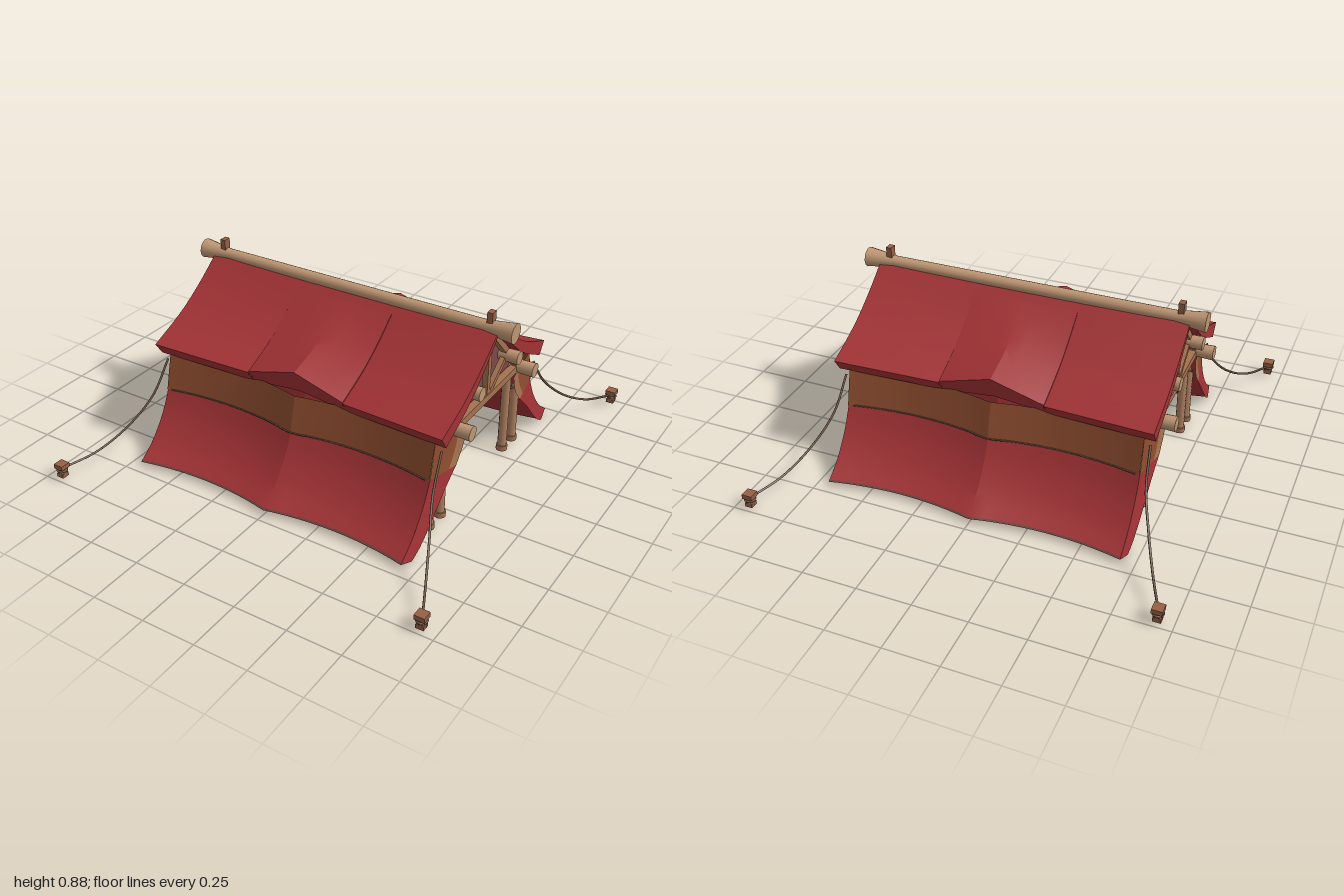
import * as THREE from 'three';
import { toCreasedNormals } from 'three/addons/utils/BufferGeometryUtils.js';

const mat = (name, color, side = THREE.FrontSide) => {
  const m = new THREE.MeshStandardMaterial({ color, side });
  m.name = name;
  return m;
};

export function createModel() {
  const root = new THREE.Group();
  root.name = 'ridgeTent';
  const red = mat('red canvas', 0xa23235, THREE.DoubleSide);
  const brown = mat('brown canvas', 0x8e4d2f, THREE.DoubleSide);
  const gableCloth = mat('gable cloth', 0x7d4a45, THREE.DoubleSide);
  const trim = mat('dark trim', 0x6b4038, THREE.DoubleSide);
  const wood = mat('pale wood', 0xbe9673);
  const postWood = mat('post wood', 0xae7f60);
  const beamWood = mat('beam wood', 0xa5714f, THREE.DoubleSide);
  const pegWood = mat('peg wood', 0x966044);
  const ropeMat = mat('rope', 0x6a5341);

  const add = (name, geo, material, parent = root) => {
    const m = new THREE.Mesh(geo, material);
    m.name = name;
    parent.add(m);
    return m;
  };

  // Open sheet from a rule p(u, v) -> [x, y, z]
  const sheet = (nu, nv, p) => {
    const pos = [], idx = [];
    for (let j = 0; j <= nv; j++) for (let i = 0; i <= nu; i++) pos.push(...p(i / nu, j / nv));
    for (let j = 0; j < nv; j++) for (let i = 0; i < nu; i++) {
      const a = j * (nu + 1) + i, b = a + nu + 1;
      idx.push(a, b, a + 1, a + 1, b, b + 1);
    }
    const g = new THREE.BufferGeometry();
    g.setAttribute('position', new THREE.Float32BufferAttribute(pos, 3));
    g.setIndex(idx);
    return toCreasedNormals(g, 0.3);
  };

  // Smooth profile in the (z, y) plane
  const profile = (pts) => {
    const c = new THREE.SplineCurve(pts.map(([z, y]) => new THREE.Vector2(z, y)));
    return (t) => c.getPoint(t);
  };

  // Squared beam between two points
  const beam = (name, a, b, w, parent) => {
    const A = new THREE.Vector3(...a), B = new THREE.Vector3(...b);
    const m = add(name, new THREE.BoxGeometry(w, w, A.distanceTo(B)), beamWood, parent);
    m.position.copy(A).add(B).multiplyScalar(0.5);
    m.lookAt(B);
  };

  // Round pole along x with flared ends
  const pole = (name, half, r, flare, y, z) => {
    const pts = [[0, -half], [flare, -half], [r, -half + 0.14], [r, half - 0.14], [flare, half], [0, half]];
    const g = new THREE.LatheGeometry(pts.map(([a, b]) => new THREE.Vector2(a, b)), 14);
    const m = add(name, toCreasedNormals(g, 0.6), wood);
    m.rotation.z = Math.PI / 2;
    m.position.set(0, y, z);
  };

  // Roof surface, its underside, and the raised smoke flap
  const W = 0.74, F = 0.245;
  const roofLine = profile([[0.02, 0.805], [0.15, 0.705], [0.3, 0.612], [0.49, 0.53]]);
  const roofPoint = (x, t) => {
    const p = roofLine(t), inset = Math.min(1, (W - Math.abs(x)) / (W - F));
    return [x, p.y - 0.014 * inset, p.x * (1 - 0.08 * inset)];
  };
  const underPoint = (x, t) => {
    const [, y, z] = roofPoint(x, t), peak = 0.025 * Math.max(0, 1 - Math.abs(x) / F);
    return [x, y - 0.02 - (0.04 - peak) * t, z - 0.04 * t];
  };
  const flapPoint = (x, v) => {
    const [, y, z] = roofPoint(x, 0.13 + 0.87 * v);
    return [x, y + 0.006 + 0.07 * v * (1 - Math.abs(x) / F), z];
  };

  const skirtLine = profile([[0.485, 0.31], [0.52, 0.235], [0.565, 0.165], [0.63, 0.09], [0.71, 0.03]]);
  const endLine = profile([[0.31, 0.3], [0.4, 0.22], [0.5, 0.115], [0.58, 0.04], [0.64, 0.005]]);
  const wallEndLine = profile([[0.22, 0.46], [0.25, 0.375], [0.31, 0.3]]);
  const liningLine = profile([[0.37, 0.46], [0.395, 0.31], [0.45, 0.22], [0.53, 0.12], [0.64, 0.005]]);
  const scallop = (x) => { const a = Math.abs(x) / 0.69; return 0.16 * a * (1 - a); };

  for (const s of [1, -1]) {
    const side = new THREE.Group();
    side.name = s > 0 ? 'frontSide' : 'backSide';
    root.add(side);
    const flip = (p) => [p[0], p[1], p[2] * s];
    const X = (u, h) => (u * 2 - 1) * h;

    // Upper roof: two wings, a strip above the flap, and the underside
    for (const e of [1, -1]) {
      add('roofWing', sheet(6, 10, (u, v) => flip(roofPoint(e * (F + (W - F) * u), v))), red, side);
      add('roofEave', sheet(6, 1, (u, v) => {
        const x = e * (F + (W - F) * u);
        return flip((v ? underPoint : roofPoint)(x, 1));
      }), red, side);
      add('roofEnd', sheet(1, 10, (u, v) => flip((u ? underPoint : roofPoint)(e * W, v))), red, side);
      add('flapEdge', sheet(1, 10, (u, v) => {
        const p = flapPoint(e * F, v);
        return flip([p[0], p[1] - 0.02 * u, p[2]]);
      }), red, side);
    }
    add('roofTopStrip', sheet(4, 3, (u, v) => flip(roofPoint(X(u, F), 0.16 * v))), red, side);
    add('roofUnderside', sheet(24, 10, (u, v) => flip(underPoint(X(u, W), v))), red, side);

    // Raised smoke flap with its undercut front
    add('smokeFlap', sheet(8, 8, (u, v) => flip(flapPoint(X(u, F), v))), red, side);
    add('flapFront', sheet(8, 1, (u, v) => flip((v ? underPoint : flapPoint)(X(u, F), 1))), red, side);

    // Brown wall band, lower skirt with trimmed edge, hem and inner lining
    add('wallBand', sheet(24, 1, (u, v) => {
      const x = X(u, 0.69);
      return flip([x, 0.475 - 0.168 * v, 0.45 + 0.041 * v - scallop(x)]);
    }), brown, side);
    const skirtPart = (name, v0, v1, n, material) => add(name, sheet(24, n, (u, v) => {
      const x = X(u, 0.69), p = skirtLine(v0 + (v1 - v0) * v);
      return flip([x, p.y, p.x - scallop(x)]);
    }), material, side);
    skirtPart('skirt', 0, 0.96, 8, red);
    skirtPart('skirtTrim', 0.96, 1, 1, trim);
    add('skirtHem', sheet(24, 1, (u, v) => {
      const x = X(u, 0.69);
      return flip([x, 0.03 - 0.025 * v, 0.71 - 0.07 * v - scallop(x)]);
    }), red, side);
    add('skirtLining', sheet(24, 10, (u, v) => {
      const x = X(u, 0.69), p = liningLine(v);
      return flip([x, p.y, p.x - scallop(x)]);
    }), red, side);

    // Ropes along the lining and the outer seam
    for (const [name, y, z, r] of [['liningRope', 0.3, 0.394, 0.006], ['seamRope', 0.309, 0.489, 0.004]]) {
      const pts = [];
      for (let i = 0; i <= 12; i++) {
        const x = X(i / 12, 0.67);
        pts.push(new THREE.Vector3(x, y, s * (z - scallop(x))));
      }
      add(name, new THREE.TubeGeometry(new THREE.CatmullRomCurve3(pts), 48, r, 6), ropeMat, side);
    }

    // Side purlins
    pole('upperPurlin', 0.76, 0.027, 0.032, 0.59, s * 0.18);
    pole('lowerPurlin', 0.785, 0.029, 0.034, 0.475, s * 0.305);

    for (const e of [1, -1]) {
      // Folded ends of the skirt and wall band
      add('skirtEnd', sheet(3, 8, (u, v) => {
        const a = skirtLine(v), b = endLine(v);
        return flip([e * (0.69 + (0.03 - 0.018 * v) * u), a.y + (b.y - a.y) * u, a.x + (b.x - a.x) * u]);
      }), red, side);
      const wallEnd = (name, u0, u1, material) => add(name, sheet(2, 5, (t, v) => {
        const u = u0 + (u1 - u0) * t, b = wallEndLine(v), z = 0.45 + 0.035 * v, y = 0.475 - 0.165 * v;
        return flip([e * (0.69 + 0.03 * u), y + (b.y - y) * u, z + (b.x - z) * u]);
      }), material, side);
      wallEnd('wallEnd', 0, 0.72, brown);
      wallEnd('wallEndRim', 0.72, 1, beamWood);

      // Guy rope and stake
      const guy = [[0.715, 0.44, 0.44], [0.735, 0.29, 0.54], [0.79, 0.17, 0.66], [0.86, 0.085, 0.81], [0.93, 0.055, 0.96]];
      const curve = new THREE.CatmullRomCurve3(guy.map(([x, y, z]) => new THREE.Vector3(x * e, y, z * s)));
      add('guyRope', new THREE.TubeGeometry(curve, 28, 0.0055, 6), ropeMat, side);
      const stake = new THREE.Group();
      stake.name = 'stake';
      stake.position.set(e * 0.932, 0.05, s * 0.968);
      side.add(stake);
      add('stakeShaft', new THREE.CylinderGeometry(0.021, 0.021, 0.055, 8), pegWood, stake);
      add('stakeHead', new THREE.BoxGeometry(0.048, 0.022, 0.048), pegWood, stake).position.y = 0.022;
      add('stakeFoot', new THREE.BoxGeometry(0.036, 0.018, 0.036), pegWood, stake).position.y = -0.025;
      add('stakeKnot', new THREE.TorusGeometry(0.021, 0.006, 6, 12), ropeMat, stake).rotation.x = Math.PI / 2;
    }

    // Posts: pairs at the corners, one in the middle
    for (const [x, z] of [[0.65, 0.305], [0.65, 0.405], [-0.65, 0.305], [-0.65, 0.405], [0, 0.405]]) {
      const post = new THREE.Group();
      post.name = 'post';
      post.position.set(x, 0, z * s);
      side.add(post);
      const top = z > 0.4 ? 0.36 : 0.46;
      add('postShaft', new THREE.CylinderGeometry(0.021, 0.021, top - 0.02, 10), postWood, post).position.y = top / 2 + 0.01;
      add('postFoot', new THREE.CylinderGeometry(0.027, 0.027, 0.026, 10), beamWood, post).position.y = 0.021;
    }
  }

  // Ridge pole
  pole('ridgePole', 0.81, 0.028, 0.046, 0.807, 0);

  // Gable trusses with cloth behind and pegs above
  for (const e of [1, -1]) {
    const x = e * 0.69;
    const truss = new THREE.Group();
    truss.name = 'gableTruss';
    root.add(truss);
    beam('tieBeam', [x, 0.467, -0.31], [x, 0.467, 0.31], 0.034, truss);
    beam('kingPost', [x, 0.47, 0], [x, 0.79, 0], 0.026, truss);
    for (const s of [1, -1]) {
      beam('rafter', [x, 0.78, 0.01 * s], [x, 0.475, 0.31 * s], 0.028, truss);
      beam('eaveRafter', [x, 0.59, 0.2 * s], [x, 0.5, 0.42 * s], 0.024, truss);
      beam('brace', [x, 0.475, 0.015 * s], [x, 0.59, 0.175 * s], 0.024, truss);
    }
    const shape = new THREE.Shape([[-0.41, 0.47], [0.41, 0.47], [0.27, 0.58], [0.14, 0.67], [0, 0.775], [-0.14, 0.67], [-0.27, 0.58]]
      .map(([a, b]) => new THREE.Vector2(a, b)));
    const cloth = add('gableCloth', new THREE.ShapeGeometry(shape), gableCloth, truss);
    cloth.rotation.y = e * Math.PI / 2;
    cloth.position.x = e * 0.665;
    add('ridgePeg', new THREE.BoxGeometry(0.026, 0.09, 0.036), pegWood, truss).position.set(e * 0.695, 0.836, 0);
  }
  return root;
}
